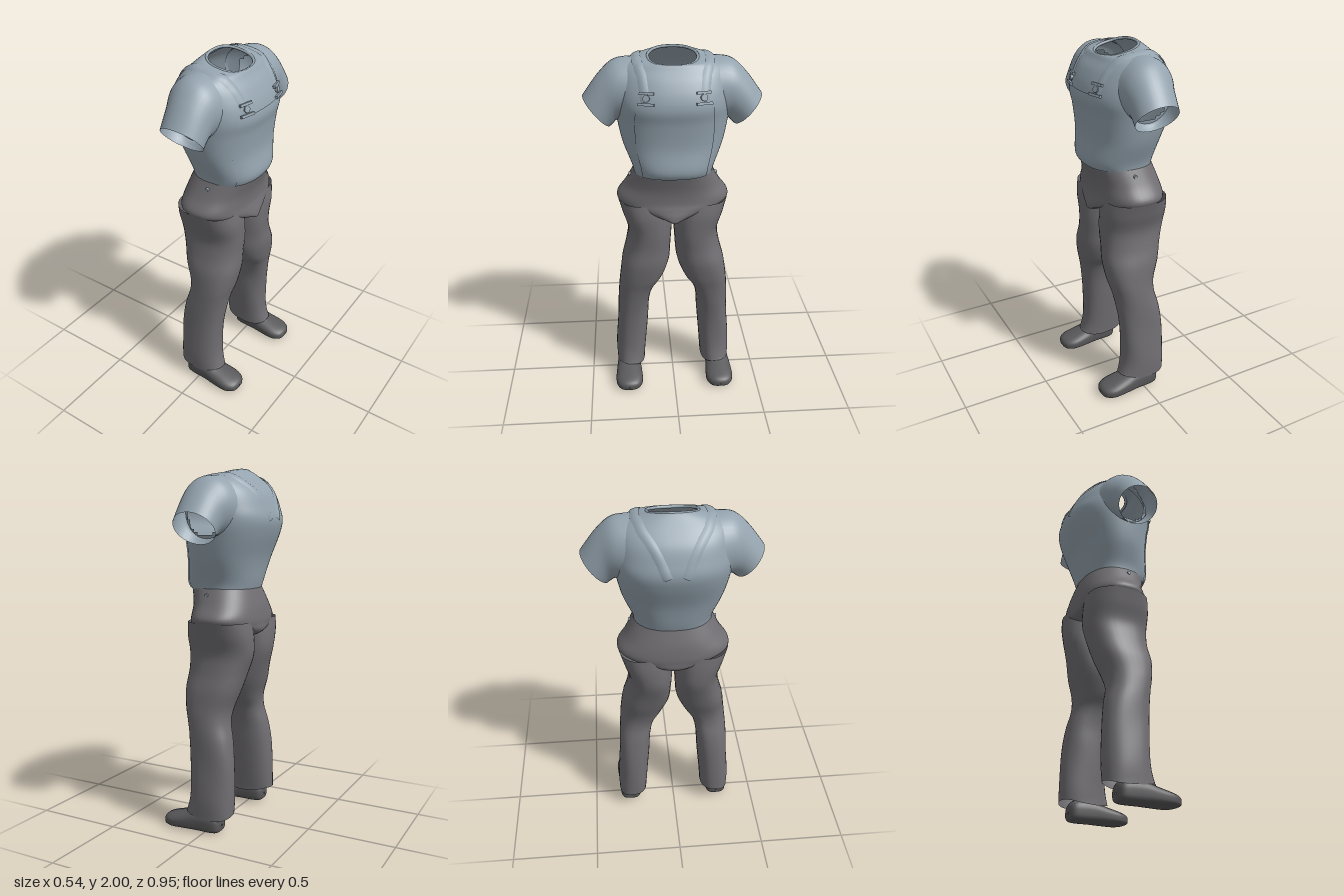
import * as THREE from 'three';

const mat = (name, color) => {
  const m = new THREE.MeshStandardMaterial({ color, side: THREE.DoubleSide });
  m.name = name;
  return m;
};

// Catmull-Rom blend of the rows of a section table at fractional row index t
function sample(rows, t) {
  const last = rows.length - 1;
  const i = Math.min(Math.floor(t), last - 1), f = t - i;
  const row = k => rows[Math.max(0, Math.min(last, k))];
  return rows[0].map((_, c) => {
    const a = row(i - 1)[c], b = row(i)[c], d = row(i + 1)[c], e = row(i + 2)[c];
    return b + 0.5 * f * (d - a + f * (2 * a - 5 * b + 4 * d - e + f * (3 * (b - d) + e - a)));
  });
}

// Squared-off sine or cosine for fuller cross-sections
const full = (c, p = 0.84) => Math.sign(c) * Math.abs(c) ** p;
const TAU = Math.PI * 2;

// Skin a surface P(u, w), u and w in 0..1; closed joins w = 1 to w = 0
function skin(P, nu, nw, closed = true, keep = () => true) {
  const pos = [], idx = [], cols = closed ? nw : nw + 1;
  for (let i = 0; i <= nu; i++)
    for (let j = 0; j < cols; j++) pos.push(...P(i / nu, j / nw).toArray());
  for (let i = 0; i < nu; i++)
    for (let j = 0; j < nw; j++) {
      if (!keep(P((i + 0.5) / nu, (j + 0.5) / nw))) continue;
      const a = i * cols + j, b = i * cols + (j + 1) % cols;
      idx.push(a, a + cols, b, b, a + cols, b + cols);
    }
  const g = new THREE.BufferGeometry();
  g.setAttribute('position', new THREE.Float32BufferAttribute(pos, 3));
  g.setIndex(idx);
  g.computeVertexNormals();
  return g;
}

// Copy a surface to the other side, keeping its outside outside
const mirror = (P, s) => (u, w) => {
  const p = P(u, s > 0 ? w : 1 - w);
  p.z *= s;
  return p;
};

// Sections: y, back x, front x, half width in z, forward tilt
const TORSO = [
  [1.35, -0.155, 0.2, 0.215, 0], [1.4, -0.17, 0.222, 0.226, 0],
  [1.52, -0.2, 0.205, 0.272, 0], [1.65, -0.25, 0.215, 0.3, 0],
  [1.73, -0.268, 0.23, 0.31, 0], [1.8, -0.25, 0.215, 0.31, 0],
  [1.87, -0.22, 0.18, 0.3, 0], [1.92, -0.175, 0.145, 0.28, 0.005],
  [1.955, -0.13, 0.128, 0.22, 0.015], [1.97, -0.1, 0.12, 0.15, 0.027],
  [1.966, -0.09, 0.115, 0.13, 0.03],
];
const PELVIS = [
  [1.075, 0.02, 0.16, 0.01], [1.09, -0.14, 0.195, 0.04], [1.12, -0.195, 0.195, 0.15],
  [1.16, -0.2, 0.182, 0.28], [1.2, -0.198, 0.172, 0.312], [1.27, -0.185, 0.175, 0.265],
  [1.36, -0.155, 0.198, 0.217],
];
// y, back x, front x, inner z, outer z
const LEG = [
  [0.095, -0.148, 0.135, 0.175, 0.345], [0.2, -0.148, 0.112, 0.165, 0.345],
  [0.4, -0.14, 0.113, 0.15, 0.332], [0.52, -0.125, 0.125, 0.14, 0.325],
  [0.62, -0.1, 0.143, 0.115, 0.317], [0.7, -0.105, 0.163, 0.065, 0.31],
  [0.8, -0.14, 0.175, 0.025, 0.297], [0.9, -0.17, 0.17, 0.012, 0.268],
  [1.0, -0.197, 0.175, 0.005, 0.255], [1.1, -0.2, 0.175, 0, 0.285],
  [1.18, -0.19, 0.16, 0, 0.308],
];
// Top z, top y, bottom z, bottom y, back x, front x
const SLEEVE = [
  [0.2, 1.962, 0.27, 1.625, -0.18, 0.14], [0.305, 1.95, 0.298, 1.63, -0.155, 0.13],
  [0.388, 1.88, 0.318, 1.612, -0.13, 0.122], [0.475, 1.765, 0.333, 1.6, -0.12, 0.12],
];
// x, bottom y, top y, half width
const SHOE = [
  [-0.09, 0.04, 0.05, 0.004], [-0.085, 0.012, 0.09, 0.045], [-0.05, 0, 0.12, 0.064],
  [0.05, 0, 0.122, 0.07], [0.12, 0, 0.1, 0.077], [0.2, 0, 0.078, 0.08],
  [0.245, 0.004, 0.064, 0.062], [0.264, 0.012, 0.05, 0.035], [0.27, 0.03, 0.034, 0.003],
];

function torsoAt(t, a) {
  const [y, x0, x1, rz, tilt] = sample(TORSO, t), c = Math.cos(a);
  return new THREE.Vector3((x0 + x1) / 2 + (x1 - x0) / 2 * full(c), y - tilt * c, rz * full(Math.sin(a)));
}
function torsoNormal(t, a) {
  const e = 0.02, t0 = Math.max(0, t - e), t1 = Math.min(TORSO.length - 1, t + e);
  const du = torsoAt(t1, a).sub(torsoAt(t0, a));
  const da = torsoAt(t, a + e).sub(torsoAt(t, a - e));
  return du.cross(da).normalize();
}
const torso = (u, w) => torsoAt(u * (TORSO.length - 1), w * TAU);

function pelvis(u, w) {
  const [y, x0, x1, rz] = sample(PELVIS, u * (PELVIS.length - 1)), a = w * TAU;
  return new THREE.Vector3((x0 + x1) / 2 + (x1 - x0) / 2 * full(Math.cos(a)), y, rz * full(Math.sin(a)));
}
function leg(u, w) {
  const [y, x0, x1, z0, z1] = sample(LEG, u * (LEG.length - 1)), a = w * TAU;
  const fold = 1 + 0.015 * Math.sin(3 * a + 16 * y) * Math.min(1, 3 * (1 - u));
  const hem = u === 0 ? 0.012 * Math.sin(2 * a + 1) : 0;
  return new THREE.Vector3((x0 + x1) / 2 + fold * (x1 - x0) / 2 * full(Math.cos(a)), y + hem,
    (z0 + z1) / 2 + fold * (z1 - z0) / 2 * full(Math.sin(a)));
}
function sleeve(u, w) {
  const [zt, yt, zb, yb, x0, x1] = sample(SLEEVE, u * (SLEEVE.length - 1)), a = w * TAU;
  const s = -Math.sin(a);
  return new THREE.Vector3((x0 + x1) / 2 + (x1 - x0) / 2 * Math.cos(a),
    (yt + yb) / 2 + (yt - yb) / 2 * s, (zt + zb) / 2 + (zt - zb) / 2 * s);
}
function shoe(u, w) {
  const [x, y0, y1, rz] = sample(SHOE, u * (SHOE.length - 1)), a = w * TAU, s = Math.sin(a);
  return new THREE.Vector3(x, (y0 + y1) / 2 + (y1 - y0) / 2 * full(s, s < 0 ? 0.5 : 0.9),
    0.275 + rz * full(Math.cos(a), s < 0 ? 0.6 : 0.9));
}

// Strap route over the shoulder as (section index, angle)
const ROUTE = new THREE.CatmullRomCurve3([
  [4.7, 0.43], [6, 0.5], [7, 0.6], [8.1, 1.0], [8.4, 1.57], [8, 2.2], [7, 2.62], [5.5, 2.9], [4, 3.04],
].map(([t, a]) => new THREE.Vector3(t, a, 0)));
function strap(u, w) {
  const at = k => { const q = ROUTE.getPoint(k); return torsoAt(q.x, q.y); };
  const q = ROUTE.getPoint(u), n = torsoNormal(q.x, q.y);
  const along = at(Math.min(1, u + 0.01)).sub(at(Math.max(0, u - 0.01)));
  const across = along.cross(n).normalize();
  return torsoAt(q.x, q.y).addScaledVector(n, 0.008 - 0.006 * (2 * w - 1) ** 2)
    .addScaledVector(across, (w - 0.5) * 0.05);
}
// Bib panel lying just over the chest
function bib(u, w) {
  const t = 0.3 + u * 4.2, a = (w - 0.5) * 2 * (0.85 - 0.25 * u);
  return torsoAt(t, a).addScaledVector(torsoNormal(t, a), 0.005);
}

export function createModel() {
  const model = new THREE.Group();
  const shirt = mat('shirt blue grey', 0x94a3ae);
  const cloth = mat('trouser grey', 0x706e72);
  const leather = mat('shoe grey', 0x585759);
  const add = (name, geometry, material, parent = model) => {
    const m = new THREE.Mesh(geometry, material);
    m.name = name;
    parent.add(m);
    return m;
  };

  // Shirt body, left open at the neck and armholes
  const solid = p => Math.abs(p.z) < 0.18 || ((p.x + 0.01) / 0.12) ** 2 + ((p.y - 1.77) / 0.125) ** 2 > 1;
  add('shirtBody', skin(torso, 60, 64, true, solid), shirt);
  add('bib', skin(bib, 24, 20, false), shirt);
  const neck = Array.from({ length: 24 }, (_, i) => torsoAt(10, i / 24 * TAU));
  add('collar', new THREE.TubeGeometry(new THREE.CatmullRomCurve3(neck, true), 48, 0.008, 8, true), shirt);

  add('trouserSeat', skin(pelvis, 30, 48), cloth);

  for (const s of [1, -1]) {
    const side = s > 0 ? 'left' : 'right';
    add(side + 'Sleeve', skin(mirror(sleeve, s), 18, 36), shirt);
    add(side + 'Leg', skin(mirror(leg, s), 60, 32), cloth);
    add(side + 'Shoe', skin(mirror(shoe, s), 40, 28), leather);
    add(side + 'Strap', skin(mirror(strap, s), 60, 4, false), shirt);

    // Strap buckle: two bars and a stud
    const buckle = new THREE.Group();
    buckle.name = side + 'Buckle';
    const p = torsoAt(5, 0.42);
    buckle.position.set(p.x + 0.008, p.y, s * p.z);
    buckle.rotation.set(0, -s * 0.25, 0.3);
    for (const [y, w] of [[0.025, 0.075], [-0.03, 0.085]])
      add('buckleBar', new THREE.BoxGeometry(0.014, 0.014, w), shirt, buckle).position.y = y;
    add('buckleStud', new THREE.CylinderGeometry(0.018, 0.018, 0.014, 12).rotateZ(Math.PI / 2), shirt, buckle);
    model.add(buckle);

    // Side button at the waist
    add(side + 'WaistButton', new THREE.CylinderGeometry(0.01, 0.01, 0.016, 10).rotateX(Math.PI / 2), shirt)
      .position.set(0.025, 1.325, s * 0.236);
  }
  return model;
}
